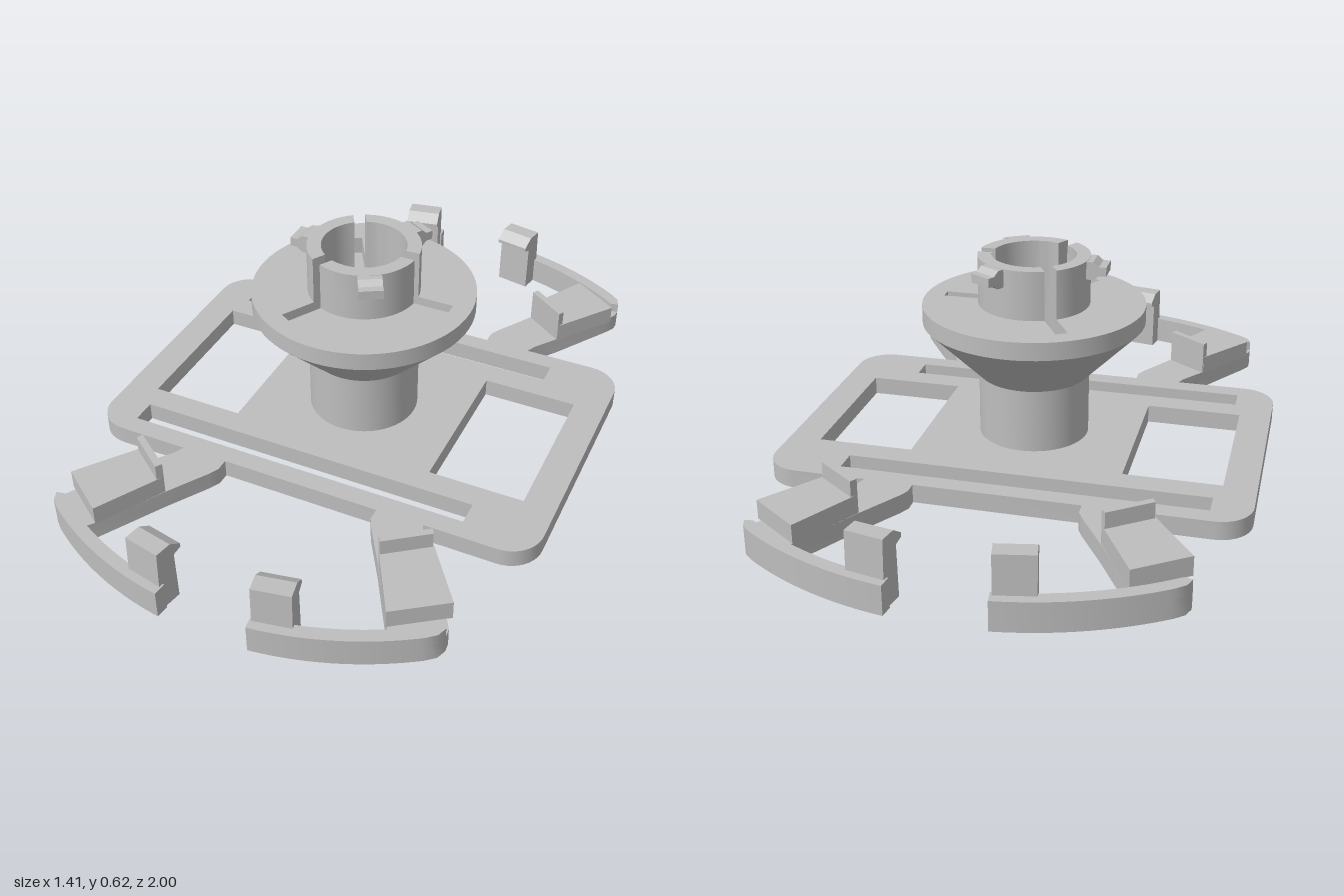
import * as THREE from 'three';
import { toCreasedNormals } from 'three/addons/utils/BufferGeometryUtils.js';

export function createModel() {
  const model = new THREE.Group();
  const grey = new THREE.MeshStandardMaterial({ color: 0xbebebe });
  grey.name = 'grey plastic';

  const add = (name, geo, parent = model) => {
    const mesh = new THREE.Mesh(toCreasedNormals(geo, 0.5), grey);
    mesh.name = name;
    parent.add(mesh);
  };

  // Horizontal slab from [x, z] outlines, between heights y0 and y1
  const slab = (outline, y0, y1, holes = []) => {
    // Outlines run counter-clockwise and holes clockwise, so all walls face out
    const wind = (pts, clockwise) => {
      const path = pts.map(([x, z]) => new THREE.Vector2(x, -z));
      return THREE.ShapeUtils.isClockWise(path) === clockwise ? path : path.reverse();
    };
    const shape = new THREE.Shape(wind(outline, false));
    holes.forEach((h) => shape.holes.push(new THREE.Path(wind(h, true))));
    const geo = new THREE.ExtrudeGeometry(shape, { depth: y1 - y0, bevelEnabled: false });
    return geo.rotateX(-Math.PI / 2).translate(0, y0, 0);
  };
  const arc = (cx, cz, r, a0, a1, n) => Array.from({ length: n + 1 }, (_, i) => {
    const a = a0 + ((a1 - a0) * i) / n;
    return [cx + r * Math.cos(a), cz + r * Math.sin(a)];
  });
  const rect = (x0, x1, z0, z1) => [[x0, z0], [x1, z0], [x1, z1], [x0, z1]];

  // Profile in (radius, y), extruded along the tangent and centred on an angle
  const radialBlock = (profile, width, angle) => {
    const shape = new THREE.Shape(profile.map((p) => new THREE.Vector2(...p)));
    const geo = new THREE.ExtrudeGeometry(shape, { depth: width, bevelEnabled: false });
    return geo.translate(0, 0, -width / 2).rotateY(-angle);
  };

  // Base plate with rounded corners, two windows and two long slots
  const q = Math.PI / 2;
  const corners = [[0.607, 0.347], [-0.607, 0.347], [-0.607, -0.347], [0.607, -0.347]];
  const plate = corners.flatMap(([x, z], i) => arc(x, z, 0.1, i * q, (i + 1) * q, 10));
  add('basePlate', slab(plate, 0, 0.056, [
    rect(-0.61, -0.32, -0.24, 0.238), rect(0.32, 0.61, -0.24, 0.238),
    rect(-0.59, 0.484, -0.39, -0.318), rect(-0.59, 0.484, 0.314, 0.388),
  ]));

  // Hollow column flaring into a cone
  const column = [[0.167, 0.05], [0.167, 0.25], [0.333, 0.418], [0.125, 0.418], [0.125, 0.06], [0, 0.06]];
  add('columnAndCone', new THREE.LatheGeometry(column.map((p) => new THREE.Vector2(...p)), 72));

  // Flange disc whose bore has three radial slots
  const third = (2 * Math.PI) / 3, bore = 0.125, outer = 0.167, half = 0.018;
  const innerGap = Math.asin(half / bore), outerGap = Math.asin(half / outer);
  const boreHole = [0, 1, 2].flatMap((i) => {
    const a = i * third, c = Math.cos(a), s = Math.sin(a);
    const slot = [-half, half].map((t) => [0.275 * c - t * s, 0.275 * s + t * c]);
    return [...slot, ...arc(0, 0, bore, a + innerGap, a + third - innerGap, 20)];
  });
  add('flange', slab(arc(0, 0, 0.333, 0, 2 * Math.PI * 71 / 72, 71), 0.418, 0.472, [boreHole]));

  // Split collar with a small catch on each segment
  for (let i = 0; i < 3; i++) {
    const a = i * third;
    add('collarSegment', slab([
      ...arc(0, 0, outer, a + outerGap, a + third - outerGap, 24),
      ...arc(0, 0, bore, a + third - innerGap, a + innerGap, 24),
    ], 0.472, 0.62));
    add('collarCatch', radialBlock([
      [0.155, 0.565], [0.185, 0.565], [0.2, 0.578], [0.222, 0.578],
      [0.222, 0.605], [0.2, 0.605], [0.183, 0.619], [0.155, 0.619],
    ], 0.07, a + third / 2));
  }

  // Four mirrored arms, each with a pad, a ridge, a curved rim and a clip
  const sweep = (r, a0, a1, n) => arc(0, 0, r, q - a0, q - a1, n);
  const armOutline = [
    [0.245, 0.44], [0.245, 0.485], [0.26, 0.515], [0.335, 0.635], [0.445, 0.825], [0.475, 0.86],
    ...sweep(1.008, 0.5, 0.585, 4),
    [0.583, 0.818], [0.594, 0.79], [0.592, 0.765], [0.572, 0.73],
    [0.455, 0.55], [0.4, 0.475], [0.385, 0.44],
  ];
  const pad = [[0.335, 0.632], [0.457, 0.548], [0.587, 0.724], [0.443, 0.825]];
  const ridge = [[0.335, 0.632], [0.455, 0.546], [0.464, 0.564], [0.347, 0.65]];
  const rim = [
    ...sweep(1.008, 0.133, 0.585, 24),
    [0.583, 0.818], [0.594, 0.79], [0.57, 0.785],
    ...sweep(0.97, 0.59, 0.133, 24),
  ];
  const screwHole = arc(0.46, 0.707, 0.038, 0, 2 * Math.PI * 23 / 24, 23);
  const clip = [
    [0.915, 0], [0.985, 0], [0.978, 0.197], [0.928, 0.197],
    [0.892, 0.172], [0.892, 0.16], [0.918, 0.152],
  ];
  for (const sx of [1, -1]) for (const sz of [1, -1]) {
    const arm = new THREE.Group();
    arm.name = `${sz > 0 ? 'front' : 'back'}${sx > 0 ? 'Left' : 'Right'}Arm`;
    model.add(arm);
    const flip = (pts) => pts.map(([x, z]) => [x * sx, z * sz]);
    add('armFoot', slab(flip(armOutline), 0, 0.056, [flip(screwHole)]), arm);
    add('armPad', slab(flip(pad), 0.055, 0.112), arm);
    add('armRidge', slab(flip(ridge), 0.055, 0.16), arm);
    add('curvedRim', slab(flip(rim), 0, 0.086), arm);
    const a = q - 0.195;
    add('clip', radialBlock(clip, 0.11, Math.atan2(Math.sin(a) * sz, Math.cos(a) * sx)), arm);
  }

  return model;
}
